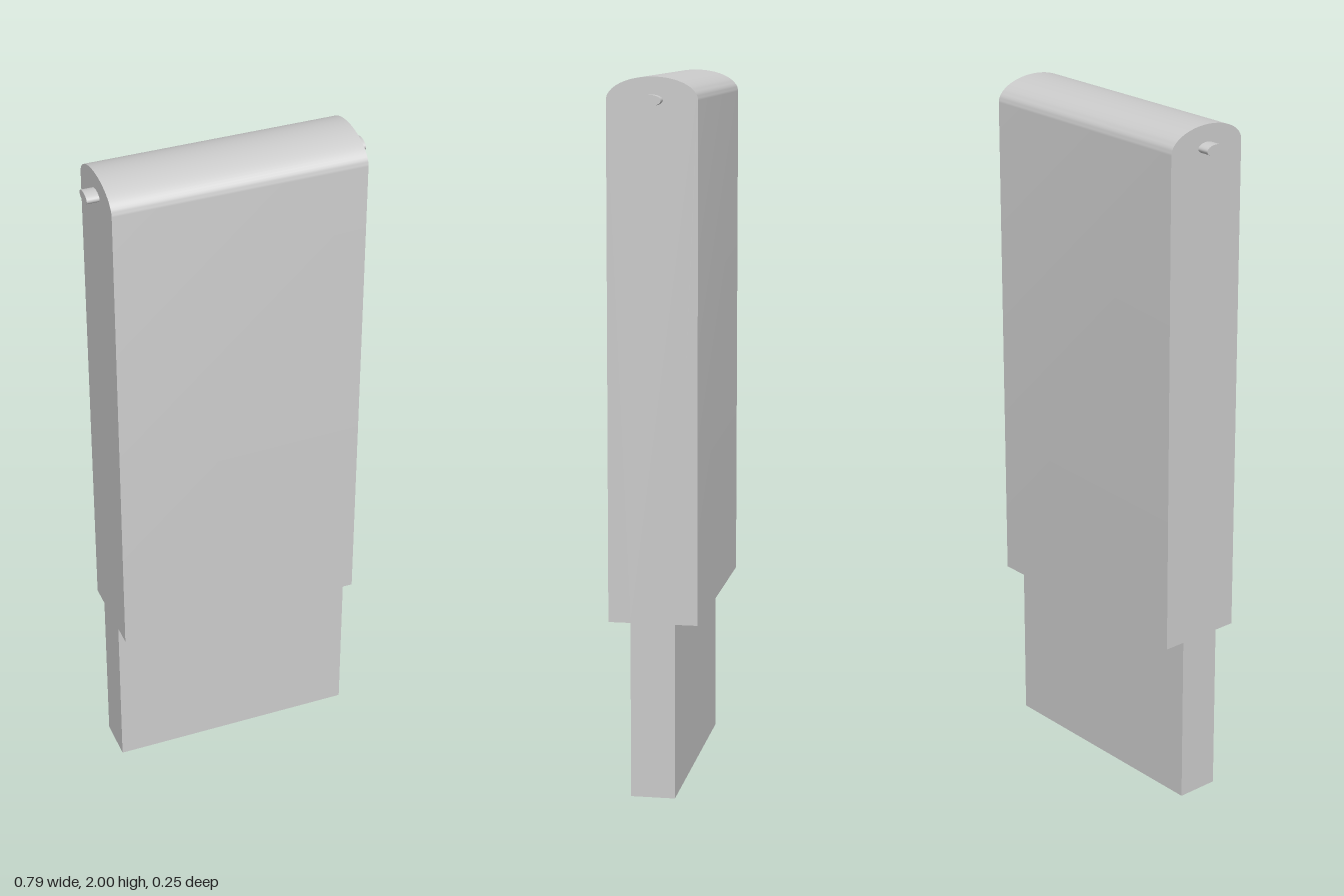
import * as THREE from 'three';
import { toCreasedNormals } from 'three/addons/utils/BufferGeometryUtils.js';

const WIDTH = 0.72;        // along x
const HALF_DEPTH = 0.125;  // along z
const STEP_Y = 0.5;        // where the thin tongue meets the body
const PIVOT_Y = 1.9375;    // start of the rounded top, and pin height
const PIN_SPAN = 0.79;

export function createModel() {
  const group = new THREE.Group();
  const material = new THREE.MeshStandardMaterial({ color: 0xcccccc });

  const add = (name, geometry, y = 0) => {
    const mesh = new THREE.Mesh(geometry, material);
    mesh.name = name;
    mesh.position.y = y;
    group.add(mesh);
    return mesh;
  };

  // Side profile with a thin tongue below and a half-ellipse top, extruded across the width
  const profile = new THREE.Shape();
  profile.moveTo(-HALF_DEPTH / 2, 0);
  profile.lineTo(HALF_DEPTH / 2, 0);
  profile.lineTo(HALF_DEPTH / 2, STEP_Y);
  profile.lineTo(HALF_DEPTH, STEP_Y);
  profile.lineTo(HALF_DEPTH, PIVOT_Y);
  profile.absellipse(0, PIVOT_Y, HALF_DEPTH, 2 - PIVOT_Y, 0, Math.PI, false);
  profile.lineTo(-HALF_DEPTH, STEP_Y);
  profile.lineTo(-HALF_DEPTH / 2, STEP_Y);
  profile.closePath();
  const body = new THREE.ExtrudeGeometry(profile, { depth: WIDTH, bevelEnabled: false, curveSegments: 16 });
  body.translate(0, 0, -WIDTH / 2).rotateY(Math.PI / 2);
  add('body', toCreasedNormals(body, 0.6));

  // Flattened pivot pins protruding from both sides
  const pinLength = (PIN_SPAN - WIDTH) / 2;
  for (const side of [1, -1]) {
    const pin = new THREE.CylinderGeometry(0.03, 0.03, pinLength, 32);
    pin.rotateZ(Math.PI / 2).scale(1, 0.5, 1);
    const mesh = add(side > 0 ? 'leftPin' : 'rightPin', pin, PIVOT_Y);
    mesh.position.x = side * (WIDTH + pinLength) / 2;
  }
  return group;
}
